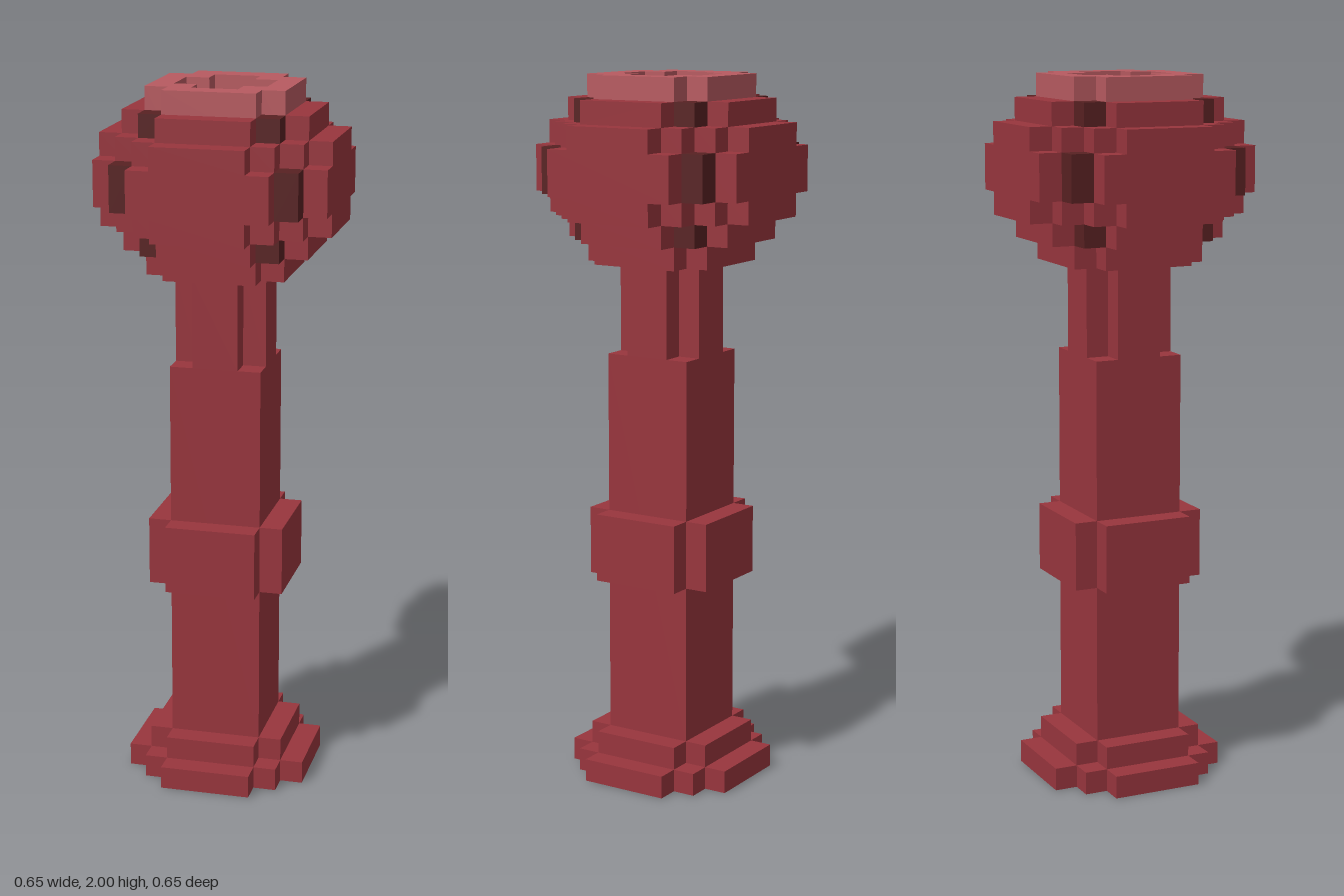
import * as THREE from 'three';

const U = 2 / 31; // one block

const mat = (name, color) => {
  const m = new THREE.MeshStandardMaterial({ color });
  m.name = name;
  return m;
};

// Outline of crossed rectangles: each step [a, b] is a half width and half depth in blocks.
function outline(steps, PathType) {
  const quarter = [];
  steps.forEach(([a, b], i) => {
    if (i > 0) quarter.push([a, steps[i - 1][1]]);
    quarter.push([a, b]);
  });
  const points = [];
  let corner = quarter;
  for (let k = 0; k < 4; k++) {
    points.push(...corner.map(([x, y]) => new THREE.Vector2(x * U, y * U)));
    corner = corner.map(([x, y]) => [-y, x]);
  }
  return new PathType(points);
}

export function createModel() {
  const group = new THREE.Group();
  const red = mat('red', 0x98353d);
  const pink = mat('light red', 0xb75a60);
  const dark = mat('dark red', 0x582122);

  function add(name, geometry, material) {
    const mesh = new THREE.Mesh(geometry, material);
    mesh.name = name;
    group.add(mesh);
    return mesh;
  }

  // Horizontal slab with a stepped outline, from block height y0 to y1.
  function slab(name, steps, y0, y1, material, hole) {
    const shape = outline(steps, THREE.Shape);
    if (hole) shape.holes.push(outline(hole, THREE.Path));
    const g = new THREE.ExtrudeGeometry(shape, { depth: (y1 - y0) * U, bevelEnabled: false });
    g.rotateX(-Math.PI / 2).translate(0, y0 * U, 0);
    add(name, g, material);
  }

  // Four small blocks filling the inner corners of a slab.
  function corners(name, r, y0, y1, material) {
    for (const sx of [-1, 1]) for (const sz of [-1, 1]) {
      const g = new THREE.BoxGeometry(U, (y1 - y0) * U, U);
      add(name, g, material).position.set(sx * (r + 0.5) * U, (y0 + y1) / 2 * U, sz * (r + 0.5) * U);
    }
  }

  const smallCross = [[2, 1], [1, 2]];
  const cross = [[3, 2], [2, 3]];
  const wideCross = [[4, 2], [2, 4]];
  const stepped = [[5, 2], [4, 3], [3, 4], [2, 5]];

  // Foot and shaft
  slab('foot', [[4, 2], [3, 3], [2, 4]], 0, 1, red);
  slab('footStep', cross, 1, 2, red);
  slab('shaft', [[2, 2]], 2, 19, red);
  slab('shaftBand', cross, 9, 12, red);
  slab('neck', smallCross, 19, 23, red);

  // Round head
  slab('headBottom', cross, 23, 24, red);
  slab('headLower', wideCross, 24, 25, red);
  slab('headLowerMiddle', stepped, 25, 26, red);
  slab('headMiddle', [[5, 3], [3, 5]], 26, 28, red);
  slab('headUpperMiddle', stepped, 28, 29, red);
  for (let k = 0; k < 4; k++) {
    const g = new THREE.BoxGeometry(U, U, 4 * U).translate(3.5 * U, 29.5 * U, 0).rotateY(k * Math.PI / 2);
    add('headUpper', g, red);
  }

  // Dark joints in the corners of the head
  corners('lowerJoint', 2, 24, 25, dark);
  corners('middleJoint', 3, 26, 28, dark);
  corners('upperJoint', 2, 29, 30, dark);

  // Hollow rim on top
  slab('rim', cross, 29, 31, pink, smallCross);
  slab('socketFloor', smallCross, 29, 29.1, pink);

  return group;
}
